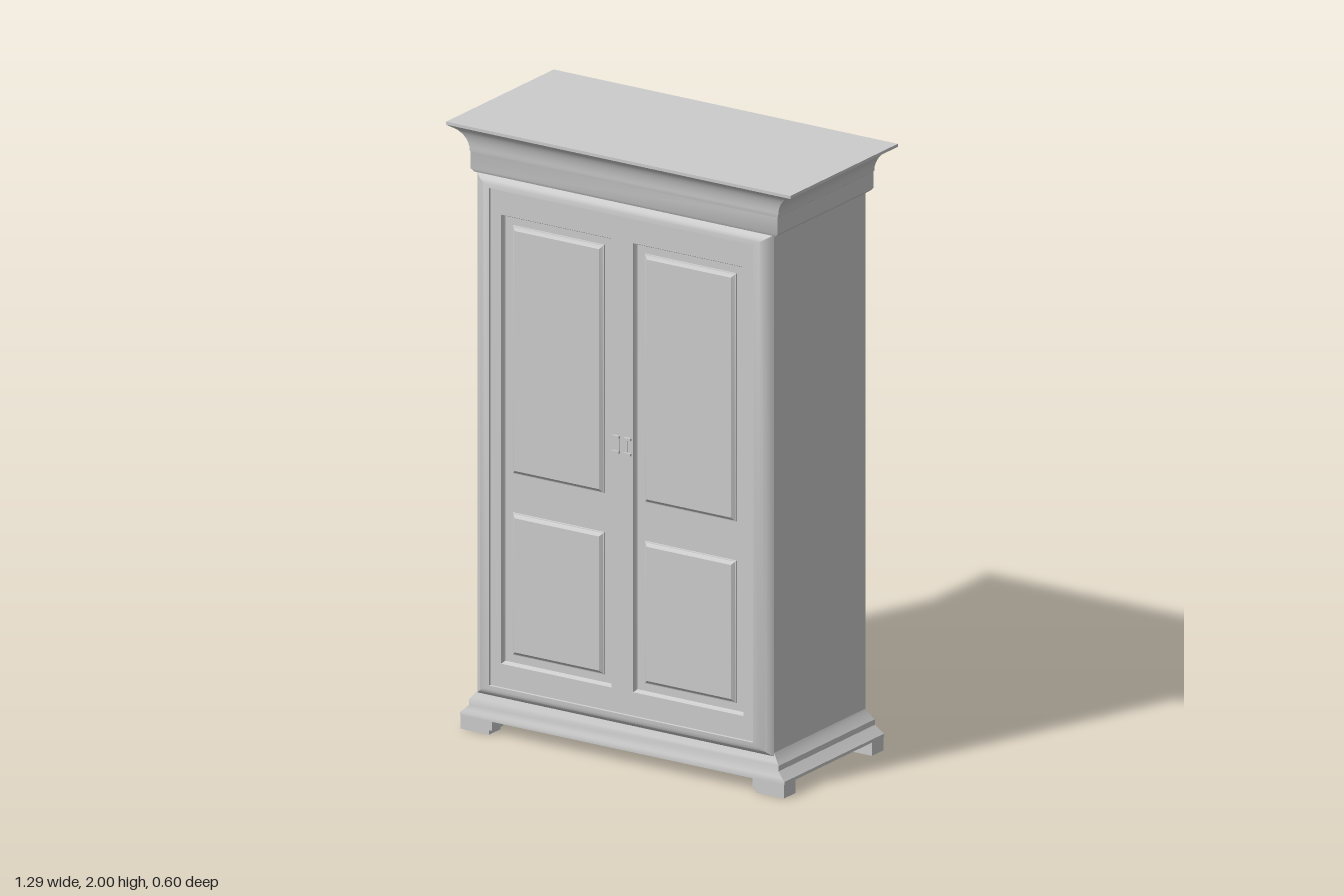
import * as THREE from 'three';
import { toCreasedNormals } from 'three/addons/utils/BufferGeometryUtils.js';

const grey = new THREE.MeshStandardMaterial({ color: 0xcccccc });

// Joins rectangles [x0, x1, y0, y1, z], listed in order, into one skin along z.
function rectLoft(sections, { start = false, end = false } = {}) {
  const pos = [];
  const rings = sections.map(([x0, x1, y0, y1, z]) => [[x0, y0, z], [x1, y0, z], [x1, y1, z], [x0, y1, z]]);
  const quad = (a, b, c, d) => pos.push(...a, ...b, ...c, ...a, ...c, ...d);
  for (let s = 0; s < rings.length - 1; s++) {
    const a = rings[s], b = rings[s + 1];
    for (let i = 0; i < 4; i++) {
      const j = (i + 1) % 4;
      quad(a[i], a[j], b[j], b[i]);
    }
  }
  if (start) quad(...[...rings[0]].reverse());
  if (end) quad(...rings[rings.length - 1]);
  const g = new THREE.BufferGeometry();
  g.setAttribute('position', new THREE.Float32BufferAttribute(pos, 3));
  g.computeVertexNormals();
  return toCreasedNormals(g, 0.6);
}

// Moulding that runs round the cabinet: profile points are [half width, half depth, height].
function moulding(profile) {
  return rectLoft(profile.map(([x, z, y]) => [-x, x, -z, z, y]), { start: true, end: true }).rotateX(-Math.PI / 2);
}

function rectPoints(x0, x1, y0, y1, PathType) {
  return new PathType([[x0, y0], [x1, y0], [x1, y1], [x0, y1]].map(p => new THREE.Vector2(...p)));
}

export function createModel() {
  const model = new THREE.Group();
  const add = (name, geometry, parent = model) => {
    const mesh = new THREE.Mesh(geometry, grey);
    mesh.name = name;
    parent.add(mesh);
    return mesh;
  };

  // Carcass
  add('carcass', new THREE.BoxGeometry(1.11, 1.78, 0.51).translate(0, 0.98, 0));

  // Cornice with a concave sweep up to the top edge
  const cornice = [[0.565, 0.264, 1.84], [0.575, 0.269, 1.85], [0.575, 0.269, 1.905]];
  for (let i = 0; i <= 8; i++) {
    const a = (i / 8) * 1.3;
    const out = (1 - Math.cos(a)) / (1 - Math.cos(1.3));
    cornice.push([0.578 + 0.057 * out, 0.27 + 0.027 * out, 1.908 + 0.077 * Math.sin(a) / Math.sin(1.3)]);
  }
  cornice.push([0.645, 0.302, 1.99], [0.645, 0.302, 2]);
  add('cornice', moulding(cornice));

  // Stepped plinth
  add('plinth', moulding([
    [0.608, 0.28, 0.045], [0.608, 0.28, 0.055], [0.597, 0.276, 0.065], [0.58, 0.27, 0.082],
    [0.58, 0.27, 0.1], [0.573, 0.266, 0.108], [0.56, 0.259, 0.125], [0.555, 0.255, 0.135],
  ]));

  // Hollow bracket feet at the four corners
  for (const sx of [-1, 1]) for (const sz of [-1, 1]) {
    const foot = new THREE.Group();
    foot.name = 'foot';
    const ring = rectPoints(-0.053, 0.053, -0.032, 0.032, THREE.Shape);
    ring.holes.push(rectPoints(-0.033, 0.033, -0.014, 0.014, THREE.Path));
    const block = new THREE.ExtrudeGeometry(ring, { depth: 0.05, bevelEnabled: false });
    add('footBlock', block.rotateX(-Math.PI / 2), foot);
    add('footBracket', new THREE.BoxGeometry(0.012, 0.035, 0.064).translate(-sx * 0.059, 0.0325, 0), foot);
    foot.position.set(sx * 0.553, 0, sz * 0.247);
    model.add(foot);
  }

  // Rounded surround framing the front
  add('frontSurround', rectLoft([
    [-0.555, 0.555, 0.122, 1.845, 0.25], [-0.555, 0.555, 0.124, 1.843, 0.26],
    [-0.548, 0.548, 0.13, 1.837, 0.269], [-0.535, 0.535, 0.14, 1.829, 0.278],
    [-0.518, 0.518, 0.152, 1.819, 0.284], [-0.495, 0.495, 0.165, 1.805, 0.286],
    [-0.494, 0.494, 0.166, 1.804, 0.279],
  ]));

  // Flat face frame with two door openings
  const face = rectPoints(-0.495, 0.495, 0.165, 1.805, THREE.Shape);
  for (const [x0, x1] of [[-0.455, -0.04], [0.04, 0.455]])
    face.holes.push(rectPoints(x0, x1, 0.243, 1.723, THREE.Path));
  add('faceFrame', new THREE.ShapeGeometry(face).translate(0, 0, 0.279));

  for (const s of [-1, 1]) {
    const door = new THREE.Group();
    door.name = s > 0 ? 'leftDoor' : 'rightDoor';
    model.add(door);
    const cx = s * 0.2475;

    // Recessed door field
    const field = (inset, z) => [cx - 0.2075 + inset, cx + 0.2075 - inset, 0.243 + inset, 1.723 - inset, z];
    add('doorField', rectLoft([field(0, 0.279), field(0.003, 0.27), field(0.007, 0.264)], { end: true }), door);

    // Raised panels with bevelled edges
    for (const [y0, y1] of [[0.275, 0.745], [0.873, 1.692]]) {
      const panel = (i, z) => [cx - 0.172 + i, cx + 0.172 - i, y0 + i, y1 - i, z];
      add('doorPanel', rectLoft([panel(0, 0.263), panel(0.001, 0.267), panel(0.004, 0.268),
        panel(0.014, 0.277), panel(0.016, 0.277)], { end: true }), door);
    }

    // Small handle: two studs and a thin plate
    for (const y of [1.025, 1.075])
      add('handleStud', new THREE.BoxGeometry(0.026, 0.008, 0.01).translate(s * 0.022, y, 0.283), door);
    add('handlePlate', new THREE.BoxGeometry(0.01, 0.05, 0.004).translate(s * 0.014, 1.05, 0.28), door);
  }

  return model;
}
